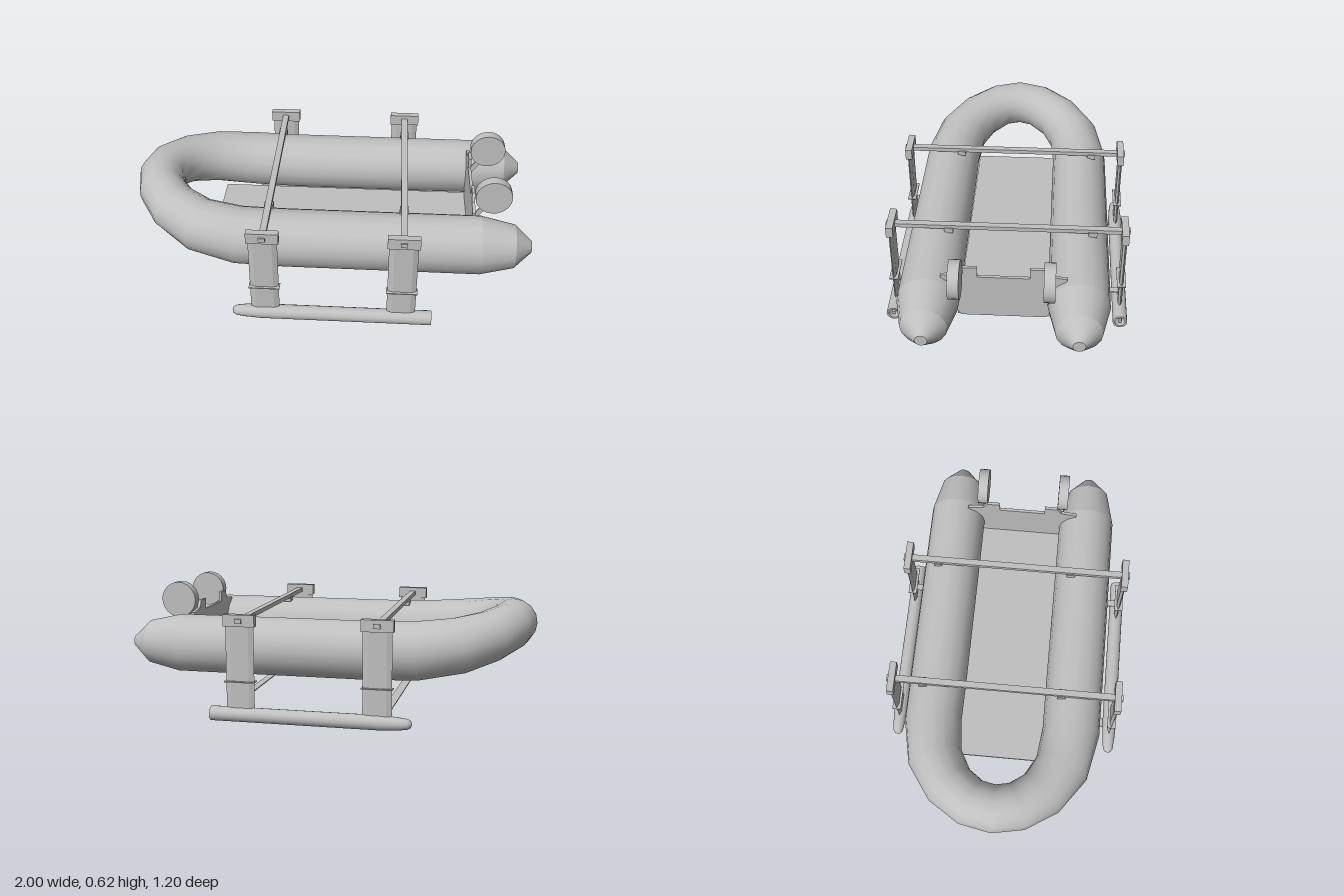
import * as THREE from 'three';

const grey = new THREE.MeshStandardMaterial({ color: 0xc0c0c0 });
grey.name = 'grey';
const SIDES = 16;

function add(parent, name, geometry, x = 0, y = 0, z = 0) {
  const mesh = new THREE.Mesh(geometry, grey);
  mesh.name = name;
  mesh.position.set(x, y, z);
  parent.add(mesh);
  return mesh;
}

const box = (parent, name, w, h, d, x, y, z) =>
  add(parent, name, new THREE.BoxGeometry(w, h, d), x, y, z);

// Sweep a circle of changing radius along stations [x, y, z, radius]
function sweep(stations) {
  const pos = [], index = [];
  const centres = stations.map((s) => new THREE.Vector3(s[0], s[1], s[2]));
  const up = new THREE.Vector3(0, 1, 0);
  const last = centres.length - 1;
  centres.forEach((c, i) => {
    const t = centres[Math.min(i + 1, last)].clone().sub(centres[Math.max(i - 1, 0)]).normalize();
    const side = t.clone().cross(up).normalize();
    const n = side.clone().cross(t);
    for (let j = 0; j < SIDES; j++) {
      const a = (j / SIDES) * Math.PI * 2;
      const p = c.clone()
        .addScaledVector(side, Math.cos(a) * stations[i][3])
        .addScaledVector(n, Math.sin(a) * stations[i][3]);
      pos.push(p.x, p.y, p.z);
      if (i < last) {
        const k = (j + 1) % SIDES;
        const p0 = i * SIDES + j, p1 = i * SIDES + k;
        index.push(p0, p0 + SIDES, p1 + SIDES, p0, p1 + SIDES, p1);
      }
    }
  });
  const g = new THREE.BufferGeometry();
  g.setAttribute('position', new THREE.Float32BufferAttribute(pos, 3));
  g.setIndex(index);
  g.computeVertexNormals();
  return g;
}

function polygon(points) {
  return new THREE.Shape(points.map(([x, y]) => new THREE.Vector2(x, y)));
}

export function createModel() {
  const boat = new THREE.Group();
  boat.name = 'inflatableBoat';

  // Buoyancy tube: up one side, around the raised bow, back down the other
  const half = [
    [0.75, 0.335, 0.35, 0.145], [0.2, 0.335, 0.35, 0.145], [-0.2, 0.335, 0.35, 0.145],
    [-0.44, 0.342, 0.35, 0.144], [-0.64, 0.37, 0.315, 0.136], [-0.78, 0.405, 0.225, 0.125],
    [-0.86, 0.432, 0.11, 0.119],
  ];
  const mirrored = half.map(([x, y, z, r]) => [x, y, -z, r]).reverse();
  add(boat, 'buoyancyTube', sweep([...half, [-0.882, 0.441, 0, 0.118], ...mirrored]));

  // Floor
  box(boat, 'floor', 1.3, 0.012, 0.43, -0.065 + 0.13, 0.246, 0);

  // Transom with a central motor notch
  const right = [[0.2, 0.24], [0.29, 0.4], [0.29, 0.478], [0.21, 0.49], [0.185, 0.528], [0.12, 0.528], [0.12, 0.475]];
  const left = right.map(([z, y]) => [-z, y]).reverse();
  const transom = add(boat, 'transom',
    new THREE.ExtrudeGeometry(polygon([...right, ...left]), { depth: 0.015, bevelEnabled: false }), 0.707);
  transom.rotation.y = Math.PI / 2;

  // Ski hull profile (radius, distance along x), hollow at the stern
  const skiProfile = [
    [0, -0.455], [0.016, -0.45], [0.025, -0.435], [0.031, -0.39], [0.036, -0.31], [0.036, 0.525],
  ].map(([r, x]) => new THREE.Vector2(r, x));
  const skiRim = [[0.036, 0.525], [0.026, 0.525]].map(([r, x]) => new THREE.Vector2(r, x));
  const skiBore = [[0.026, 0.525], [0.026, 0.48]].map(([r, x]) => new THREE.Vector2(r, x));
  const skiBack = [[0.026, 0.48], [0, 0.48]].map(([r, x]) => new THREE.Vector2(r, x));

  // Pointed foil section of the struts
  const foil = polygon([[-0.07, 0], [-0.045, -0.01], [0.045, -0.01], [0.07, 0], [0.045, 0.01], [-0.045, 0.01]]);
  const strutGeometry = new THREE.ExtrudeGeometry(foil, { depth: 0.42, bevelEnabled: false });
  strutGeometry.rotateX(-Math.PI / 2);

  for (const s of [1, -1]) {
    // Tapered stern cones
    const taper = add(boat, 'sternTaper',
      new THREE.CylinderGeometry(0.108, 0.145, 0.165, SIDES, 1, true), 0.8325, 0.335, s * 0.35);
    const cone = add(boat, 'sternCone',
      new THREE.CylinderGeometry(0.029, 0.108, 0.085, SIDES), 0.9575, 0.335, s * 0.35);
    taper.rotation.z = cone.rotation.z = -Math.PI / 2;

    // Launching wheel, folded up, and its arm
    const wheel = add(boat, 'launchWheel',
      new THREE.CylinderGeometry(0.09, 0.09, 0.052, 24), 0.81, 0.535, s * 0.212);
    wheel.rotation.x = Math.PI / 2;
    const arm = box(boat, 'wheelArm', 0.17, 0.025, 0.01, 0.77, 0.465, s * 0.205);
    arm.rotation.z = 0.98;

    // Ski hull
    const ski = new THREE.Group();
    ski.name = 'ski';
    ski.position.set(0, 0.037, s * 0.565);
    ski.rotation.z = -Math.PI / 2;
    boat.add(ski);
    add(ski, 'skiHull', new THREE.LatheGeometry(skiProfile, SIDES));
    add(ski, 'skiRim', new THREE.LatheGeometry(skiRim, SIDES));
    add(ski, 'skiBore', new THREE.LatheGeometry(skiBore, SIDES));
    add(ski, 'skiBackPlate', new THREE.LatheGeometry(skiBack, SIDES));
    add(ski, 'skiHub', new THREE.CylinderGeometry(0.01, 0.01, 0.04, 10), 0, 0.5, 0);

    // Struts with fences and clamps
    for (const x of [-0.29, 0.375]) {
      add(boat, 'strut', strutGeometry, x, 0.055, s * 0.565);
      box(boat, 'strutFence', 0.15, 0.005, 0.044, x, 0.2, s * 0.565);
      box(boat, 'strutClamp', 0.155, 0.057, 0.034, x, 0.496, s * 0.564);
    }
  }

  // Cross bars over the tubes, with seating pads
  for (const x of [-0.29, 0.375]) {
    box(boat, 'crossBar', 0.032, 0.021, 1.18, x, 0.495, 0);
    for (const z of [-0.41, 0.285]) box(boat, 'barPad', 0.044, 0.025, 0.042, x, 0.478, z);
  }

  // Thin foils joining the skis
  box(boat, 'frontFoil', 0.045, 0.005, 1.12, -0.29, 0.026, 0);
  box(boat, 'rearFoil', 0.035, 0.005, 1.12, 0.375, 0.115, 0);

  return boat;
}
